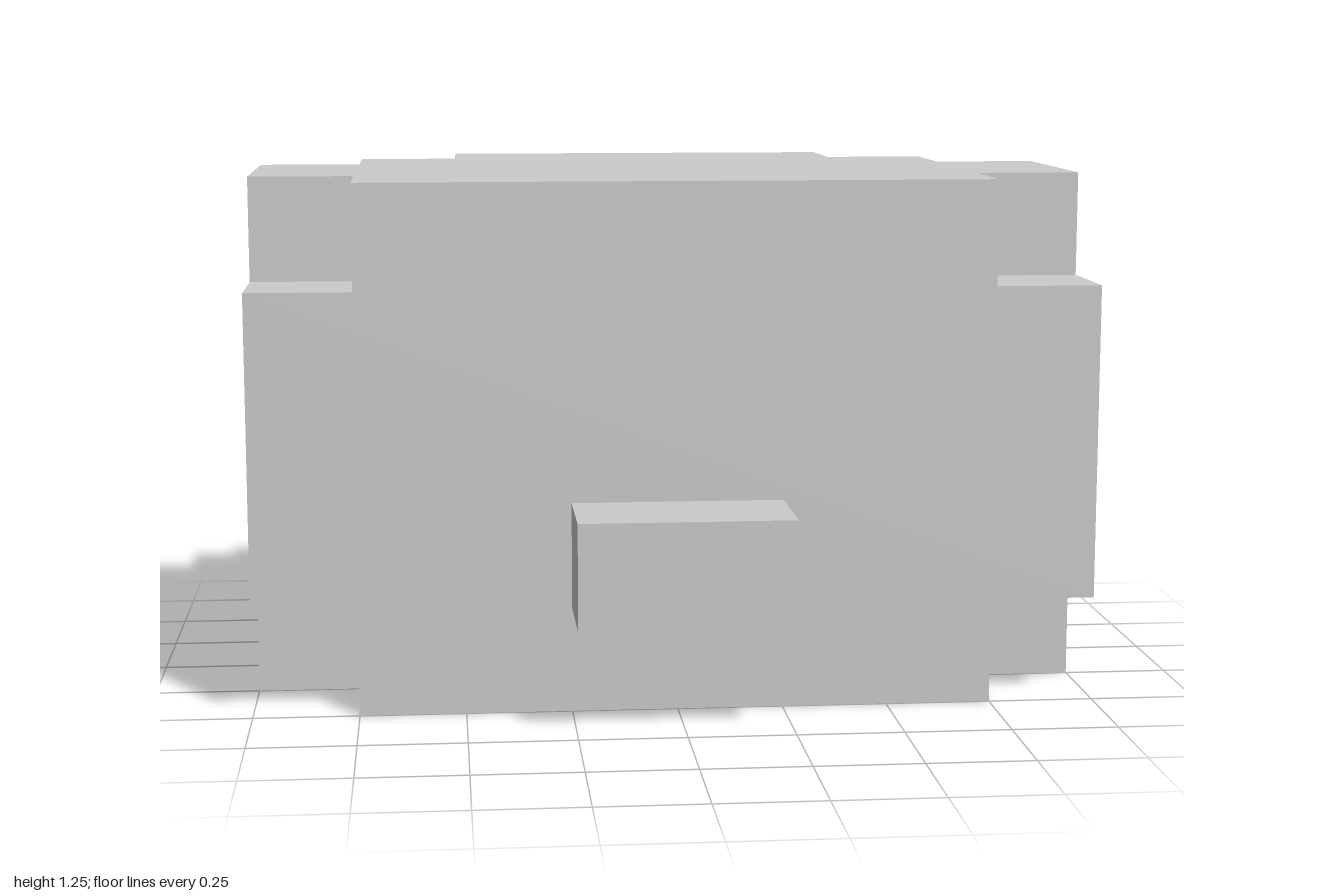
import * as THREE from 'three';

const material = new THREE.MeshStandardMaterial({ color: 0xcccccc, flatShading: true });

// Flat slab from the right half of a plan outline [x, z], mirrored to the other side
function slab(name, half, y0, y1) {
  const mirrored = half.map(([x, z]) => [-x, z]).reverse();
  const points = [...half, ...mirrored].map(([x, z]) => new THREE.Vector2(x, -z));
  const geometry = new THREE.ExtrudeGeometry(new THREE.Shape(points), { depth: y1 - y0, bevelEnabled: false });
  geometry.rotateX(-Math.PI / 2).translate(0, y0, 0);
  const mesh = new THREE.Mesh(geometry, material);
  mesh.name = name;
  return mesh;
}

export function createModel() {
  const group = new THREE.Group();
  group.name = 'blockyHead';

  // Plan outlines from front to back: caps have their corners stepped in
  const capOutline = [
    [0.75, 0.5], [0.75, 0.25], [1, 0.25], [1, -0.25],
    [0.75, -0.25], [0.75, -0.5], [0.5, -0.5], [0.5, -0.75],
  ];
  const middleOutline = [[1, 0.5], [1, -0.5], [0.75, -0.5], [0.75, -0.75]];

  group.add(
    slab('bottomLayer', capOutline, 0, 0.25),
    slab('middleLayer', middleOutline, 0.25, 1),
    slab('topLayer', capOutline, 1, 1.25),
  );

  // Block sticking out of the front
  const nose = new THREE.Mesh(new THREE.BoxGeometry(0.5, 0.25, 0.25), material);
  nose.name = 'nose';
  nose.position.set(0, 0.375, 0.625);
  group.add(nose);

  return group;
}
